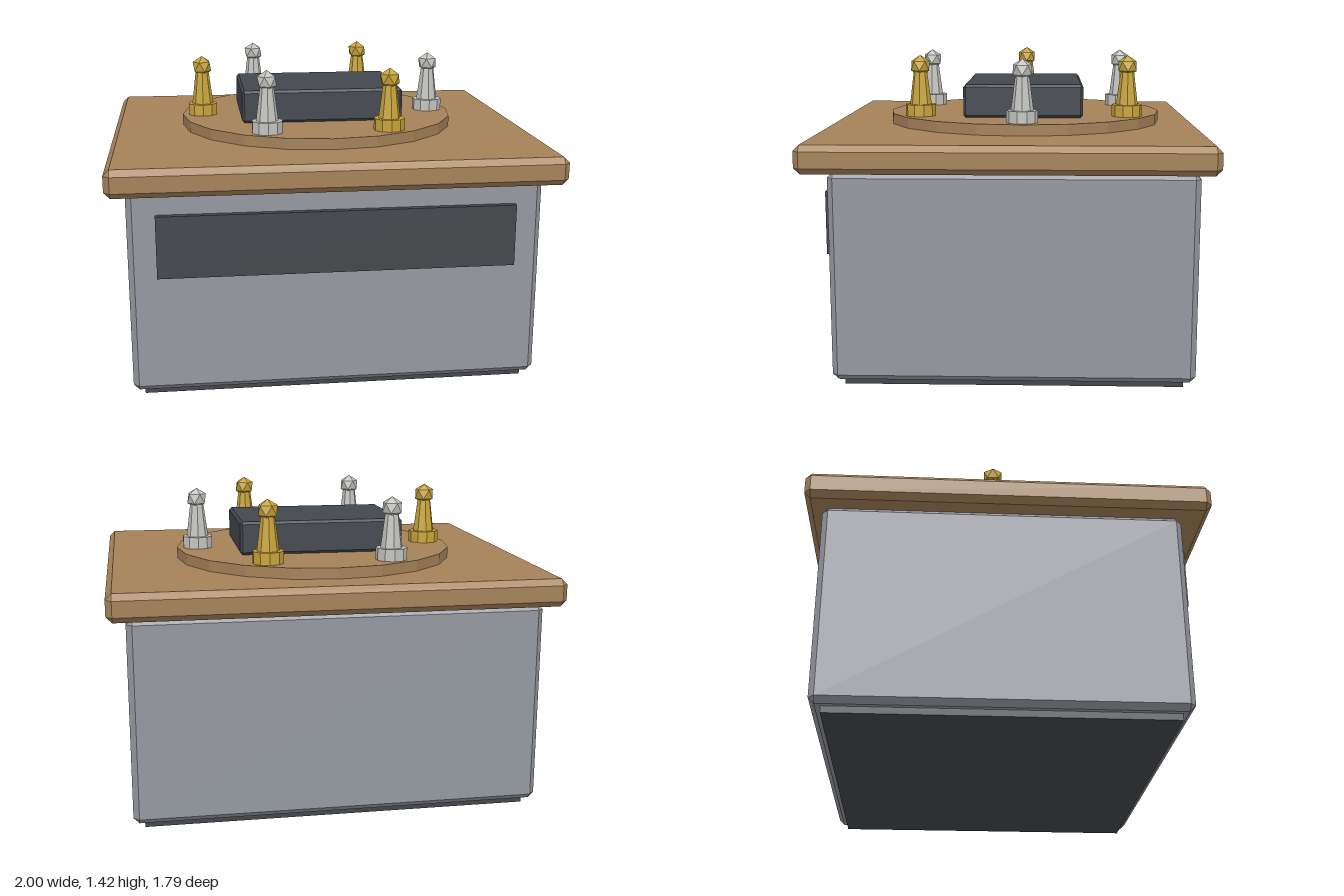
import * as THREE from 'three';
import { ConvexGeometry } from 'three/addons/geometries/ConvexGeometry.js';

const paint = (name, color) => {
  const m = new THREE.MeshStandardMaterial({ color });
  m.name = name;
  return m;
};

// Box between two corners with every edge chamfered by c
function chamferBox([x0, y0, z0], [x1, y1, z1], c) {
  const h = [(x1 - x0) / 2, (y1 - y0) / 2, (z1 - z0) / 2];
  const points = [];
  for (const sx of [-1, 1]) for (const sy of [-1, 1]) for (const sz of [-1, 1])
    for (let full = 0; full < 3; full++) {
      const e = h.map((v, i) => (i === full ? v : v - c));
      points.push(new THREE.Vector3(sx * e[0], sy * e[1], sz * e[2]));
    }
  return new ConvexGeometry(points).translate((x0 + x1) / 2, (y0 + y1) / 2, (z0 + z1) / 2);
}

// Plain box between two corners
function plainBox([x0, y0, z0], [x1, y1, z1]) {
  return new THREE.BoxGeometry(x1 - x0, y1 - y0, z1 - z0)
    .translate((x0 + x1) / 2, (y0 + y1) / 2, (z0 + z1) / 2);
}

// Faceted cylinder standing on height y0
function drum(rTop, rBottom, y0, y1, sides) {
  return new THREE.CylinderGeometry(rTop, rBottom, y1 - y0, sides)
    .toNonIndexed().translate(0, (y0 + y1) / 2, 0);
}

export function createModel() {
  const group = new THREE.Group();
  group.name = 'gameTable';
  const grey = paint('grey metal', 0x9498a0);
  const dark = paint('dark panel', 0x43474b);
  const slate = paint('dark slate', 0x43474e);
  const wood = paint('wood', 0xa58259);
  const gold = paint('gold', 0xc9a53a);
  const silver = paint('silver', 0xc4c4c0);

  const add = (parent, name, geometry, material) => {
    geometry.computeVertexNormals();
    const mesh = new THREE.Mesh(geometry, material);
    mesh.name = name;
    parent.add(mesh);
    return mesh;
  };

  // Cabinet
  add(group, 'base', plainBox([-0.87, 0, -0.77], [0.87, 0.06, 0.72]), dark);
  add(group, 'body', chamferBox([-0.92, 0.03, -0.82], [0.92, 0.955, 0.77], 0.026), grey);
  add(group, 'frontPanel', plainBox([-0.795, 0.57, 0.74], [0.795, 0.85, 0.8]), dark);

  // Wooden top with a low round board
  add(group, 'tableTop', chamferBox([-1, 0.955, -0.895], [1, 1.08, 0.895], 0.027), wood);
  const centreZ = -0.055;
  add(group, 'roundBoard', drum(0.665, 0.665, 1.07, 1.13, 20), wood).position.z = centreZ;
  add(group, 'centreBlock', chamferBox([-0.385, 1.13, -0.335], [0.385, 1.285, 0.225], 0.012), slate);

  // Ring of six playing pieces, alternating silver and gold
  for (let i = 0; i < 6; i++) {
    const a = (i * Math.PI) / 3;
    const metal = i % 2 ? gold : silver;
    const piece = new THREE.Group();
    piece.name = 'piece' + (i + 1);
    piece.position.set(0.565 * Math.cos(a), 0, centreZ + 0.565 * Math.sin(a));
    add(piece, 'foot', drum(0.072, 0.072, 1.125, 1.185, 10), metal);
    add(piece, 'stem', drum(0.031, 0.052, 1.18, 1.345, 8), metal);
    // Turned so that one corner points straight up
    const head = new THREE.IcosahedronGeometry(0.05, 0).rotateZ(Math.atan(2 / (1 + Math.sqrt(5))));
    add(piece, 'head', head.translate(0, 1.366, 0), metal);
    group.add(piece);
  }
  return group;
}
